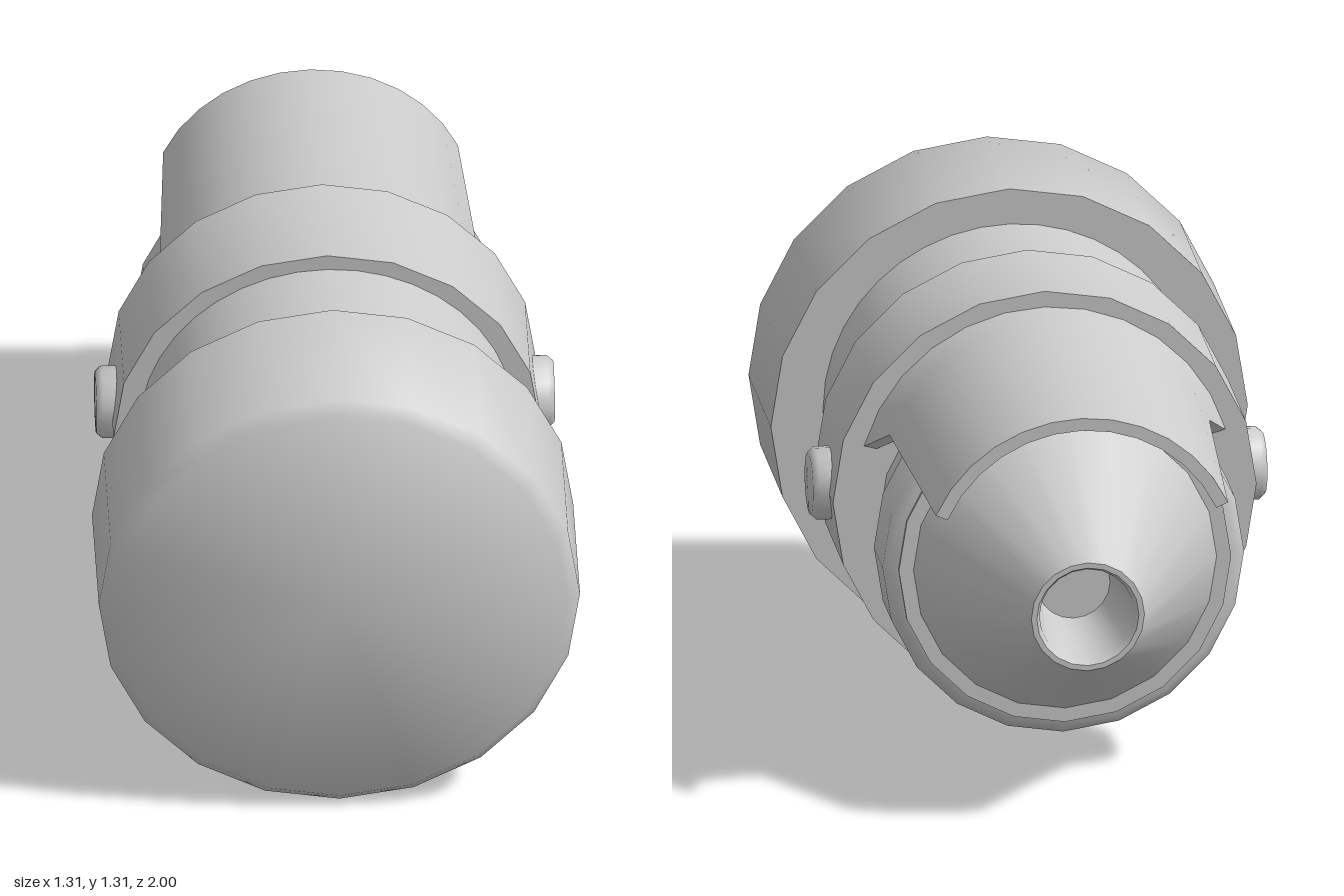
import * as THREE from 'three';
import { toCreasedNormals } from 'three/addons/utils/BufferGeometryUtils.js';

const material = new THREE.MeshStandardMaterial({ color: 0xcccccc });

function addMesh(group, name, geometry, crease = 0.9) {
  const mesh = new THREE.Mesh(toCreasedNormals(geometry, crease), material);
  mesh.name = name;
  group.add(mesh);
  return mesh;
}

// Turned part along z; profile is [radius, z] in rising z
function turned(profile, y, sides = 20) {
  const g = new THREE.LatheGeometry(profile.map(([r, z]) => new THREE.Vector2(r, z)), sides);
  return g.rotateX(Math.PI / 2).translate(0, y, 0);
}

// Arched, thin-walled hood lofted through sections [z, halfWidth, top, bottom]
function hoodGeometry(sections, thickness, steps) {
  const pos = [], index = [], count = 2 * (steps + 1);
  for (const [z, w, top, bottom] of sections) {
    const h = top - bottom;
    const R = (w * w + h * h) / (2 * h), cy = top - R;
    const half = Math.atan2(w, bottom - cy);
    for (let k = 0; k < count; k++) {
      const outer = k <= steps;
      const t = outer ? k / steps : (count - 1 - k) / steps;
      const a = half * (1 - 2 * t), r = outer ? R : R - thickness;
      pos.push(r * Math.sin(a), cy + r * Math.cos(a), z);
    }
  }
  for (let i = 0; i < sections.length - 1; i++) {
    for (let j = 0; j < count; j++) {
      const a = i * count + j, b = i * count + (j + 1) % count;
      index.push(a, a + count, b + count, a, b + count, b);
    }
  }
  // Rim at the far end
  const base = (sections.length - 1) * count;
  for (let j = 0; j < steps; j++) {
    const a = base + j, b = a + 1, d = base + count - 1 - j, c = d - 1;
    index.push(a, c, b, a, d, c);
  }
  const g = new THREE.BufferGeometry();
  g.setAttribute('position', new THREE.Float32BufferAttribute(pos, 3));
  g.setIndex(index);
  return g;
}

export function createModel() {
  const group = new THREE.Group();

  // Large front cap with a chamfered rim
  addMesh(group, 'frontCap', turned([[0, 0.53], [0.653, 0.53], [0.653, 0.965], [0.62, 1], [0, 1]], 0.653));

  // Inner barrel
  addMesh(group, 'barrel', turned([[0, -0.555], [0.455, -0.555], [0.455, 0.55], [0, 0.55]], 0.605));

  // Tapered nozzle with an open bore
  addMesh(group, 'nozzle', turned([
    [0, -0.72], [0.1, -0.72], [0.13, -0.98], [0.14, -1], [0.155, -1], [0.418, -0.55], [0, -0.5],
  ], 0.605));

  // Raised ring behind the nozzle
  addMesh(group, 'nozzleRing', turned([
    [0.4, -0.545], [0.47, -0.545], [0.495, -0.52], [0.495, -0.352], [0.4, -0.352],
  ], 0.605));

  // Wide middle band
  addMesh(group, 'middleBand', turned([[0, -0.16], [0.58, -0.16], [0.58, 0.185], [0, 0.185]], 0.67));

  // Upper shell: arch with straight sides that stop at mid height
  const arch = new THREE.Shape();
  arch.moveTo(-0.51, 0.605);
  arch.lineTo(0.51, 0.605);
  arch.absellipse(0, 0.7, 0.51, 0.505, 0, Math.PI, false);
  arch.closePath();
  const shell = new THREE.ExtrudeGeometry(arch, { depth: 0.45, bevelEnabled: false, curveSegments: 10 });
  addMesh(group, 'upperShell', shell.translate(0, 0, 0.1));

  // Overhanging hood, flared where it meets the band
  addMesh(group, 'hood', hoodGeometry([
    [-0.14, 0.505, 1.207, 0.82], [-0.17, 0.49, 1.204, 0.835],
    [-0.25, 0.438, 1.197, 0.89], [-0.885, 0.4, 1.135, 0.875],
  ], 0.035, 12));

  // Pivot knob on each side
  for (const side of [-1, 1]) {
    const profile = [[0.1, 0.5], [0.1, 0.605], [0.085, 0.622], [0, 0.624]];
    const knob = new THREE.LatheGeometry(profile.map(([r, h]) => new THREE.Vector2(r, h)), 16);
    knob.rotateZ(-side * Math.PI / 2).translate(0, 0.67, 0.01);
    addMesh(group, side > 0 ? 'leftKnob' : 'rightKnob', knob, 1.2);
  }

  return group;
}
